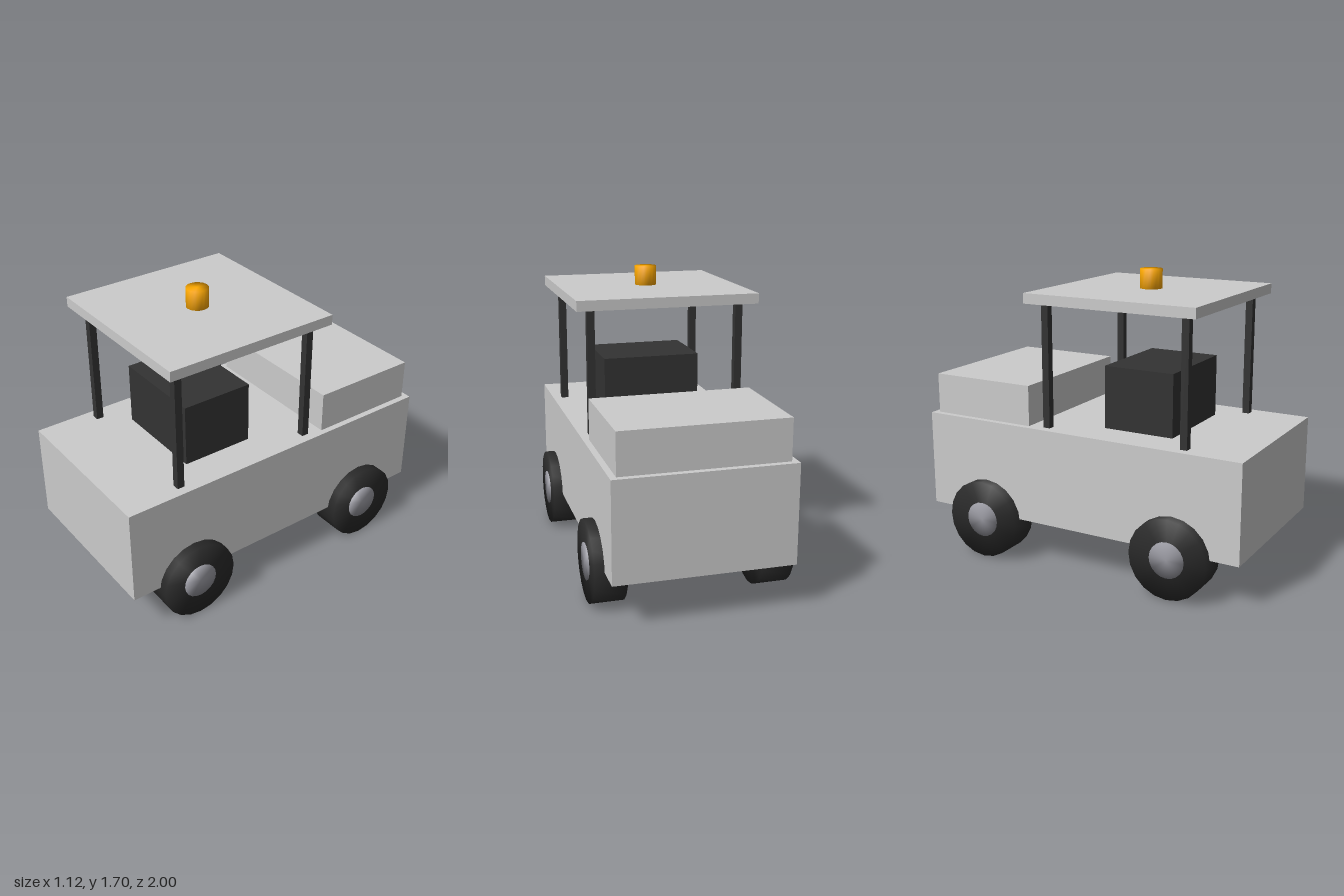
import * as THREE from 'three';
import { mergeVertices } from 'three/addons/utils/BufferGeometryUtils.js';

const paint = (color) => new THREE.MeshStandardMaterial({ color });
const grey = paint(0xcccccc);
const dark = paint(0x333333);
const rubber = paint(0x2a2a2a);
const hubMetal = paint(0x9a9aa2);
const amber = paint(0xffaa00);

// Box given by its extents along each axis
function box(name, material, [x0, x1], [y0, y1], [z0, z1]) {
  const mesh = new THREE.Mesh(new THREE.BoxGeometry(x1 - x0, y1 - y0, z1 - z0), material);
  mesh.position.set((x0 + x1) / 2, (y0 + y1) / 2, (z0 + z1) / 2);
  mesh.name = name;
  return mesh;
}

// Cylinder with normals blended softly over the rims
function softCylinder(name, material, radius, length, sides) {
  const geometry = new THREE.CylinderGeometry(radius, radius, length, sides);
  geometry.deleteAttribute('normal');
  geometry.deleteAttribute('uv');
  const merged = mergeVertices(geometry);
  merged.computeVertexNormals();
  const mesh = new THREE.Mesh(merged, material);
  mesh.name = name;
  return mesh;
}

// Tyre with a slightly wider hub, axle along x
function wheel(name, x, z) {
  const group = new THREE.Group();
  group.name = name;
  group.add(
    softCylinder('tyre', rubber, 0.23, 0.18, 20),
    softCylinder('hub', hubMetal, 0.103, 0.19, 20)
  );
  group.rotation.z = Math.PI / 2;
  group.position.set(x, 0.23, z);
  return group;
}

export function createModel() {
  const model = new THREE.Group();
  model.name = 'utilityTractor';

  // Body, rear engine cover, seat and canopy
  model.add(
    box('body', grey, [-0.5, 0.5], [0.255, 0.82], [-1, 1]),
    box('rearCover', grey, [-0.465, 0.465], [0.82, 1.055], [-0.965, -0.32]),
    box('seat', dark, [-0.285, 0.285], [0.82, 1.18], [0.075, 0.5]),
    box('roof', grey, [-0.517, 0.517], [1.53, 1.588], [-0.303, 0.732])
  );

  // Warning beacon on the roof
  const beacon = softCylinder('beacon', amber, 0.064, 0.11, 16);
  beacon.position.set(0, 1.643, 0.213);
  model.add(beacon);

  // Posts and wheels on both sides, front and rear
  for (const side of [1, -1]) {
    const sideName = side > 0 ? 'Left' : 'Right';
    for (const end of [1, -1]) {
      const endName = end > 0 ? 'front' : 'rear';
      const px = side * 0.426;
      const pz = end > 0 ? 0.644 : -0.213;
      model.add(
        box(endName + sideName + 'Post', dark, [px - 0.021, px + 0.021], [0.82, 1.53], [pz - 0.021, pz + 0.021]),
        wheel(endName + sideName + 'Wheel', side * 0.465, end * 0.606)
      );
    }
  }
  return model;
}
